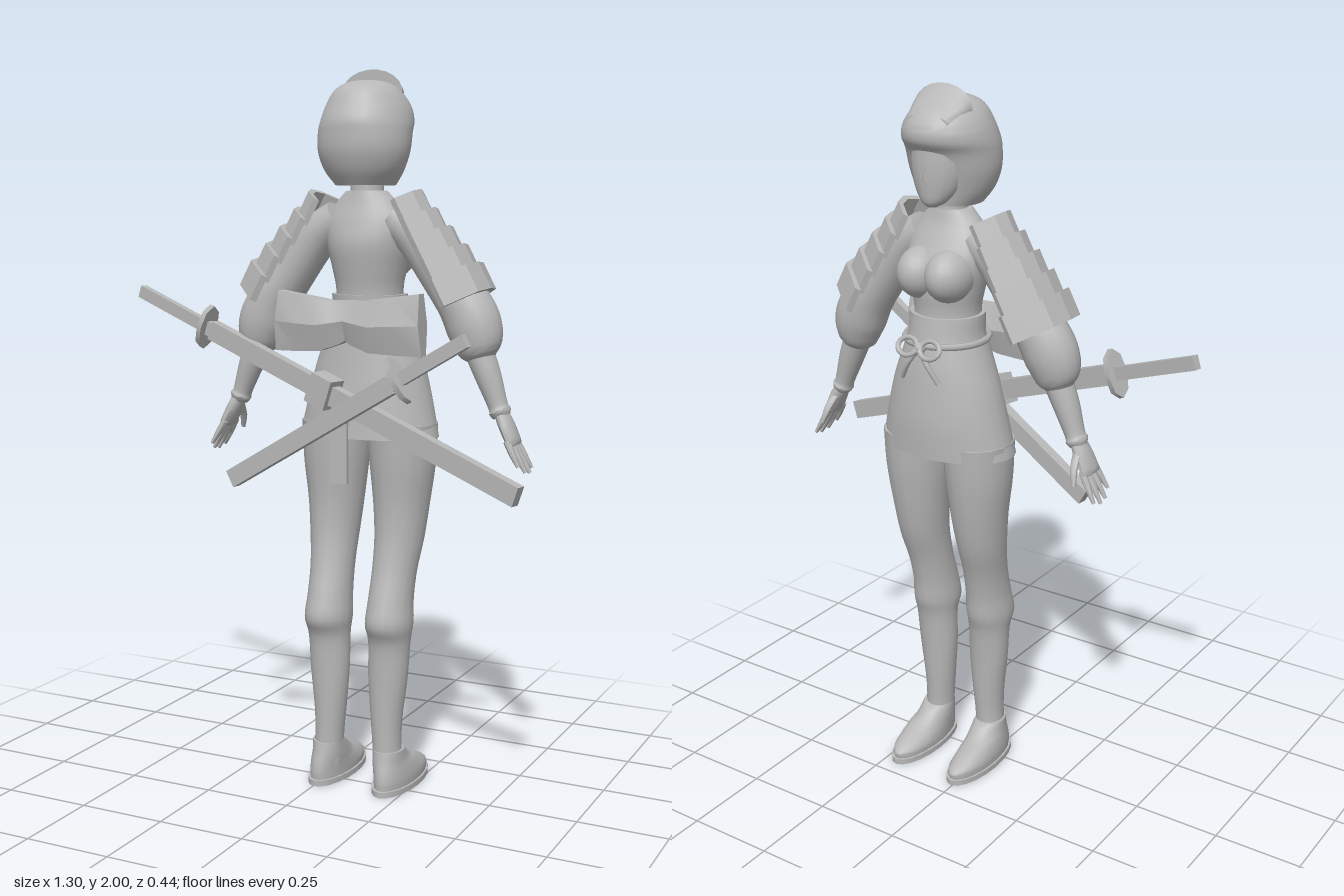
import * as THREE from 'three';
import { toCreasedNormals } from 'three/addons/utils/BufferGeometryUtils.js';

const V = (x, y, z) => new THREE.Vector3(x, y, z);
const CX = 0.105; // body centre line

// Closed tube through three or more sections [x, y, z, radius in the xy plane, radius along z]
function loft(sections, { sides = 16, sub = 4, crease = 0.8 } = {}) {
  const centres = new THREE.CatmullRomCurve3(sections.map(s => V(s[0], s[1], s[2])), false, 'catmullrom');
  const radii = new THREE.CatmullRomCurve3(sections.map(s => V(s[3], s[4], 0)), false, 'catmullrom');
  const rows = (sections.length - 1) * sub, pos = [], idx = [];
  for (let j = 0; j <= rows; j++) {
    const c = centres.getPoint(j / rows), r = radii.getPoint(j / rows), t = centres.getTangent(j / rows);
    const l = Math.hypot(t.x, t.y) || 1;
    for (let i = 0; i < sides; i++) {
      const a = (i + 0.5) / sides * Math.PI * 2, p = Math.cos(a) * r.x, q = Math.sin(a) * r.y;
      pos.push(c.x + p * t.y / l, c.y - p * t.x / l, c.z + q);
      if (j < rows) {
        const k = j * sides + i, n = j * sides + (i + 1) % sides;
        idx.push(k, k + sides, n, n, k + sides, n + sides);
      }
    }
  }
  const base = pos.length / 3, top = rows * sides;
  pos.push(...centres.getPoint(0).toArray(), ...centres.getPoint(1).toArray());
  for (let i = 0; i < sides; i++) {
    const n = (i + 1) % sides;
    idx.push(base, i, n, base + 1, top + n, top + i);
  }
  const g = new THREE.BufferGeometry();
  g.setAttribute('position', new THREE.Float32BufferAttribute(pos, 3));
  g.setIndex(idx);
  return toCreasedNormals(g, crease);
}

export function createModel() {
  const model = new THREE.Group();
  const grey = new THREE.MeshStandardMaterial({ color: 0xb8b8b8 });
  grey.name = 'grey';
  const add = (name, geo, parent = model) => {
    const m = new THREE.Mesh(geo, grey);
    m.name = name;
    parent.add(m);
    return m;
  };
  const body = rows => rows.map(([y, z, rx, rz]) => [CX, y, z, rx, rz]);

  // Head
  add('hair', loft(body([
    [1.69, -0.025, 0.082, 0.085], [1.73, -0.015, 0.11, 0.1], [1.78, -0.013, 0.127, 0.115],
    [1.83, -0.02, 0.129, 0.125], [1.862, -0.033, 0.126, 0.136], [1.90, -0.04, 0.115, 0.127],
    [1.94, -0.035, 0.09, 0.1], [1.963, -0.035, 0.055, 0.06], [1.97, -0.035, 0.01, 0.01]]), { sides: 24 }));
  add('face', loft(body([
    [1.69, -0.12, 0.015, 0.015], [1.705, -0.108, 0.038, 0.037], [1.74, -0.085, 0.066, 0.065],
    [1.79, -0.07, 0.083, 0.083], [1.86, -0.06, 0.09, 0.09]])));
  const nose = add('nose', new THREE.ConeGeometry(0.011, 0.04, 8));
  nose.position.set(CX, 1.782, -0.15);
  nose.rotation.x = -0.35;
  // Sections run forward, so the loft is turned from y to -z
  add('hairCrest', loft([
    [CX, 0.062, 1.94, 0.09, 0.06], [CX, 0.085, 1.935, 0.085, 0.043], [CX, 0.14, 1.91, 0.065, 0.02]],
  { sides: 20, sub: 2 }).rotateX(-Math.PI / 2));
  add('neck', new THREE.CylinderGeometry(0.043, 0.05, 0.13, 16)).position.set(CX, 1.67, -0.035);

  // Torso and clothing
  add('torso', loft(body([
    [1.30, -0.06, 0.1, 0.09], [1.40, -0.055, 0.094, 0.087], [1.46, -0.053, 0.104, 0.094],
    [1.53, -0.047, 0.12, 0.097], [1.59, -0.038, 0.122, 0.077], [1.64, -0.033, 0.092, 0.058],
    [1.675, -0.032, 0.058, 0.05]]), { sides: 20 }));
  for (const s of [-1, 1]) {
    const bust = add('bust', new THREE.SphereGeometry(0.06, 20, 14));
    bust.position.set(CX + s * 0.045, 1.507, -0.107);
    bust.scale.set(1.05, 1.2, 1.35);
  }
  add('sash', loft(body([
    [1.29, -0.06, 0.122, 0.112], [1.34, -0.06, 0.108, 0.102], [1.395, -0.055, 0.106, 0.098]]), { sides: 20 }));
  add('skirt', loft(body([
    [1.005, -0.055, 0.205, 0.131], [1.10, -0.06, 0.183, 0.13], [1.19, -0.062, 0.16, 0.123],
    [1.26, -0.062, 0.135, 0.117], [1.33, -0.06, 0.108, 0.108]]), { sides: 24 }));
  add('sashBow', loft([
    [-0.1, 1.325, 0.09, 0.095, 0.032], [0.03, 1.318, 0.095, 0.082, 0.04], [CX, 1.33, 0.085, 0.062, 0.036],
    [0.18, 1.318, 0.095, 0.082, 0.04], [0.325, 1.325, 0.09, 0.095, 0.032]], { sides: 6, sub: 2, crease: 0.4 }));
  add('sashTail', new THREE.BoxGeometry(0.052, 0.24, 0.012)).position.set(0.075, 1.0, 0.077);

  // Cord tied at the front
  const cord = add('waistCord', new THREE.TorusGeometry(1, 0.075, 6, 32).rotateX(Math.PI / 2));
  cord.position.set(CX, 1.325, -0.06);
  cord.scale.set(0.115, 0.13, 0.115);
  add('cordKnot', new THREE.SphereGeometry(0.016, 10, 8)).position.set(CX, 1.32, -0.185);
  for (const s of [-1, 1]) {
    const loop = add('cordLoop', new THREE.TorusGeometry(0.025, 0.007, 6, 16));
    loop.position.set(CX + s * 0.036, 1.322, -0.192);
    loop.rotation.x = 0.5;
    loop.scale.x = 1.25;
    const tail = new THREE.CatmullRomCurve3([
      V(CX, 1.32, -0.19), V(CX + s * 0.03, 1.28, -0.197), V(CX + s * 0.06, 1.23, -0.187)]);
    add('cordTail', new THREE.TubeGeometry(tail, 8, 0.007, 6));
  }

  for (const s of [-1, 1]) {
    const side = s > 0 ? 'left' : 'right';
    const mir = rows => rows.map(([x, ...r]) => [CX + s * x, ...r]);

    // Leg and shoe
    add(side + 'Leg', loft(mir([
      [0.094, 0.05, 0.012, 0.042, 0.045], [0.09, 0.14, 0.012, 0.041, 0.045], [0.088, 0.22, 0.01, 0.046, 0.048],
      [0.09, 0.33, 0.008, 0.057, 0.052], [0.093, 0.43, 0.006, 0.06, 0.06], [0.094, 0.485, 0.01, 0.066, 0.079],
      [0.094, 0.55, 0, 0.062, 0.075], [0.096, 0.63, -0.02, 0.062, 0.072], [0.1, 0.72, -0.043, 0.069, 0.079],
      [0.101, 0.82, -0.055, 0.079, 0.088], [0.102, 0.93, -0.058, 0.092, 0.1], [0.1, 1.04, -0.058, 0.098, 0.108]])));
    add(side + 'Shoe', loft(mir([
      [0.1, 0.012, -0.06, 0.053, 0.14], [0.1, 0.035, -0.06, 0.054, 0.141], [0.098, 0.06, -0.038, 0.051, 0.115],
      [0.095, 0.085, -0.01, 0.047, 0.08], [0.094, 0.12, 0.01, 0.044, 0.052]]), { sides: 20 }));
    const sole = add(side + 'Sole', new THREE.CylinderGeometry(1, 1, 0.016, 20));
    sole.position.set(CX + s * 0.1, 0.008, -0.06);
    sole.scale.set(0.059, 1, 0.15);

    // Arm and hand
    add(side + 'Sleeve', loft(mir([
      [0.08, 1.6, -0.035, 0.055, 0.055], [0.15, 1.55, -0.035, 0.06, 0.06], [0.23, 1.44, -0.035, 0.06, 0.063],
      [0.29, 1.37, -0.035, 0.074, 0.068], [0.32, 1.31, -0.033, 0.076, 0.068], [0.335, 1.255, -0.03, 0.06, 0.056],
      [0.342, 1.232, -0.03, 0.038, 0.038]])));
    add(side + 'Forearm', loft(mir([
      [0.33, 1.26, -0.03, 0.04, 0.042], [0.36, 1.19, -0.028, 0.036, 0.038], [0.39, 1.11, -0.028, 0.027, 0.03],
      [0.396, 1.095, -0.028, 0.03, 0.034], [0.402, 1.08, -0.028, 0.024, 0.026]])));
    add(side + 'Palm', loft(mir([
      [0.395, 1.1, -0.028, 0.018, 0.024], [0.415, 1.06, -0.027, 0.02, 0.036],
      [0.437, 1.015, -0.025, 0.016, 0.042], [0.441, 1.005, -0.025, 0.01, 0.038]]), { sides: 12 }));
    for (let f = 0; f < 4; f++) {
      const z = -0.055 + f * 0.021, spread = (f - 1.5) * 0.004, len = [0.9, 1, 0.95, 0.75][f];
      add(side + 'Finger', loft(mir([
        [0.43, 1.02, z, 0.01, 0.011], [0.43 + 0.025 * len, 1.02 - 0.045 * len, z + spread, 0.009, 0.0095],
        [0.43 + 0.05 * len, 1.02 - 0.088 * len, z + spread * 2, 0.005, 0.005]]), { sides: 8, sub: 2 }));
    }
    add(side + 'Thumb', loft(mir([
      [0.41, 1.07, -0.045, 0.013, 0.013], [0.418, 1.03, -0.078, 0.011, 0.011],
      [0.428, 0.99, -0.093, 0.006, 0.006]]), { sides: 8, sub: 2 }));

    // Overlapping shoulder plates, steeper than the row they sit in so that they step outward
    const tilt = -1.08;
    const d = V(s * Math.cos(tilt), Math.sin(tilt), 0), n = V(-s * Math.sin(tilt), Math.cos(tilt), 0);
    [0.076, 0.09, 0.103, 0.116, 0.132].forEach((w, i) => {
      const outer = [[-w, -0.8 * w], [-0.5 * w, -0.012], [0, 0], [0.5 * w, -0.012], [w, -0.68 * w]];
      const inner = outer.map(([z, h]) => [z * 0.94, h - 0.016]).reverse();
      const shape = new THREE.Shape([...outer, ...inner].map(([z, h]) => new THREE.Vector2(-s * z, h)));
      const g = new THREE.ExtrudeGeometry(shape, { depth: 0.078, bevelEnabled: false });
      const m = new THREE.Matrix4().makeBasis(V(0, 0, -s), n, d);
      m.setPosition(CX + s * (0.165 + 0.0415 * i), 1.68 - 0.0475 * i, -0.023);
      add(side + 'ShoulderPlate', g.applyMatrix4(m));
    });
  }

  // Sheathed swords: hilt end a, sheath end b, guard distance from the hilt end
  function sword(name, a, b, guardAt, sheathHeight) {
    const g = new THREE.Group(), len = a.distanceTo(b);
    g.name = name;
    const x = b.clone().sub(a).normalize(), z = x.clone().cross(V(0, 1, 0)).normalize();
    g.applyMatrix4(new THREE.Matrix4().makeBasis(x, z.clone().cross(x), z).setPosition(a));
    const bar = (part, from, to, height, thick) => {
      add(part, new THREE.BoxGeometry(to - from, height, thick), g).position.x = (from + to) / 2;
    };
    bar('hilt', 0, guardAt, 0.036, 0.022);
    bar('collar', guardAt, guardAt + 0.03, 0.04, 0.026);
    bar('sheath', guardAt + 0.025, len, sheathHeight, 0.03);
    const guard = add('guard', new THREE.CylinderGeometry(1, 1, 0.016, 8).rotateZ(Math.PI / 2), g);
    guard.position.x = guardAt;
    guard.scale.set(1, 0.066, 0.036);
    model.add(g);
    return bar;
  }
  const longBar = sword('longSword', V(-0.64, 1.382, -0.05), V(0.64, 0.915, 0.21), 0.275, 0.054);
  longBar('sheathBand', 0.695, 0.765, 0.084, 0.06);
  sword('shortSword', V(0.49, 1.3, 0.195), V(-0.248, 0.872, 0.1), 0.228, 0.05);

  return model;
}
